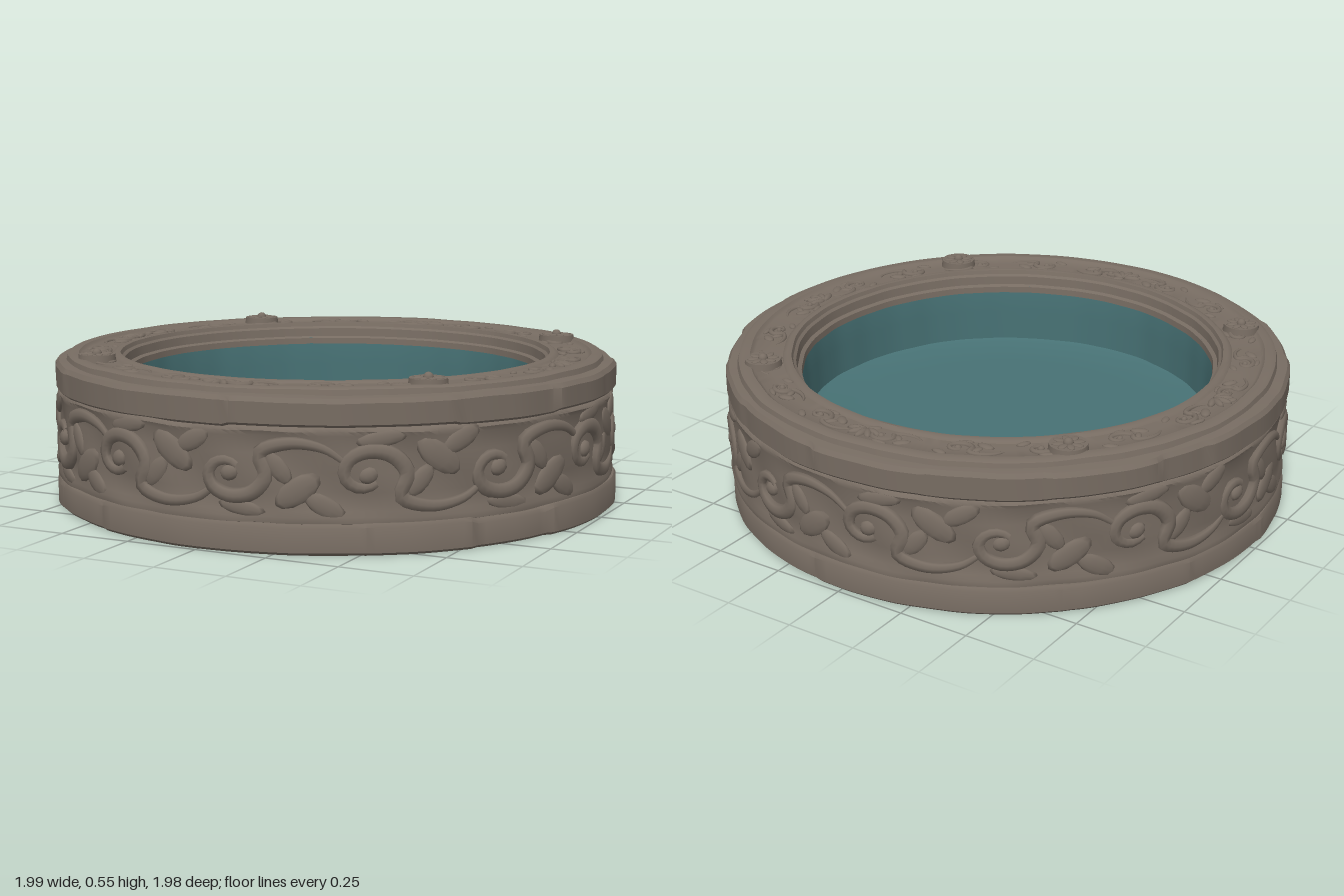
import * as THREE from 'three';
import { mergeVertices, mergeGeometries, toCreasedNormals } from 'three/addons/utils/BufferGeometryUtils.js';

const TAU = Math.PI * 2;
const SEGMENTS = 216;
const WALL = 0.976; // radius of the carved wall
const RING = 0.835; // middle radius of the carved top channel

// Repeatable value from 0 to 1
const hash = (n) => {
  const s = Math.sin(n * 127.1 + 3.7) * 43758.5453;
  return s - Math.floor(s);
};

// Stepped offset that makes a band look like worn blocks of unequal length
function blockStep(angle, count, seed) {
  const t = ((angle / TAU + 1.003) % 1) * count;
  let i = Math.floor(t);
  if (t - i < hash(i + seed) * 0.5) i = (i + count - 1) % count;
  return hash(i * 3.1 + seed * 7) - 0.5;
}

const wear = (a, seed) => Math.sin(a * 7 + seed) * 0.5 + Math.sin(a * 17 + seed * 2.3) * 0.3 + Math.sin(a * 31 + seed * 4) * 0.2;

// Lathe whose vertices are moved by rule(angle, radius, y) -> [radius, y]
function wornLathe(profile, rule, crease = 0.6) {
  const geo = new THREE.LatheGeometry(profile.map(([r, y]) => new THREE.Vector2(r, y)), SEGMENTS);
  const p = geo.attributes.position;
  for (let i = 0; i < p.count; i++) {
    const x = p.getX(i), z = p.getZ(i), r0 = Math.hypot(x, z);
    const a = Math.atan2(x, z);
    const [r, y] = rule(a, r0, p.getY(i));
    p.setXYZ(i, r * Math.sin(a), y, r * Math.cos(a));
  }
  return toCreasedNormals(geo, crease);
}

// Bend flat relief (u along, v across, d outward) onto the side wall or the top ring
const onWall = (u, v, d) => [(WALL + d) * Math.sin(u / WALL), v, (WALL + d) * Math.cos(u / WALL)];
const onTop = (u, v, d) => [(RING - v) * Math.sin(u / RING), 0.511 + d, (RING - v) * Math.cos(u / RING)];

function bend(geo, map) {
  geo.deleteAttribute('uv');
  geo.deleteAttribute('normal');
  const p = geo.attributes.position;
  for (let i = 0; i < p.count; i++) p.setXYZ(i, ...map(p.getX(i), p.getY(i), p.getZ(i)));
  const out = mergeVertices(geo, 1e-4);
  out.computeVertexNormals();
  return out;
}

// Tapered, flattened stem along a list of flat points
function stem(points, width, height) {
  const curve = new THREE.CatmullRomCurve3(points.map(([u, v]) => new THREE.Vector3(u, v, 0)));
  const steps = points.length * 3, sides = 7;
  const geo = new THREE.TubeGeometry(curve, steps, width, sides);
  const p = geo.attributes.position;
  for (let i = 0; i < p.count; i++) {
    const t = Math.floor(i / (sides + 1)) / steps;
    const c = curve.getPointAt(t);
    const s = 0.3 + 0.7 * Math.sin(Math.PI * Math.min(1, t * 0.85 + 0.12));
    p.setXYZ(i, c.x + (p.getX(i) - c.x) * s, c.y + (p.getY(i) - c.y) * s, p.getZ(i) * s * height / width);
  }
  return geo;
}

// Pointed oval leaf lying flat
function leaf(u, v, length, width, height, turn) {
  const geo = new THREE.SphereGeometry(1, 10, 6);
  geo.scale(length, width, height);
  geo.rotateZ(turn);
  geo.translate(u, v, 0);
  return geo;
}

// One scroll: a curl that opens into the running vine, with broad leaves
function scroll(u, v, size, flip, height) {
  const curl = [];
  for (let i = 0; i <= 8; i++) {
    const t = i / 8, a = 0.9 + t * 6.1, r = size * (0.3 + 0.7 * t);
    curl.push([u + Math.cos(a) * r * 1.3, v + flip * Math.sin(a) * r]);
  }
  curl.push([u + size * 1.9, v + flip * size * 1.0], [u + size * 3.0, v + flip * size * 0.85], [u + size * 3.7, v + flip * size * 0.4]);
  return [
    stem(curl, size * 0.27, height),
    leaf(u, v, size * 0.32, size * 0.26, height, 0.4),
    leaf(u + size * 2.2, v - flip * size * 0.5, size * 0.85, size * 0.42, height * 0.8, flip * 0.6),
    leaf(u + size * 1.6, v + flip * size * 0.2, size * 0.6, size * 0.3, height * 0.7, -flip * 0.9),
    leaf(u - size * 1.3, v + flip * size * 0.95, size * 0.7, size * 0.32, height * 0.7, flip * 0.5),
    leaf(u + size * 0.4, v - flip * size * 1.1, size * 0.8, size * 0.25, height * 0.6, -flip * 0.15),
  ];
}

function scrollBand(count, radius, v, size, height, map) {
  const parts = [];
  for (let i = 0; i < count; i++) {
    const u = ((i + 0.25) / count) * TAU * radius;
    parts.push(...scroll(u, v, size * (0.93 + 0.1 * hash(i)), i % 2 ? -1 : 1, height));
  }
  return mergeGeometries(parts.map((g) => bend(g, map)));
}

export function createModel() {
  const group = new THREE.Group();
  const stone = new THREE.MeshStandardMaterial({ name: 'weathered stone', color: 0x776c62 });
  const water = new THREE.MeshStandardMaterial({ name: 'teal basin', color: 0x477174 });
  const add = (name, geo, mat = stone, parent = group) => {
    const mesh = new THREE.Mesh(geo, mat);
    mesh.name = name;
    parent.add(mesh);
    return mesh;
  };

  // Base plinth with uneven blocks and a closed underside
  add('basePlinth', wornLathe(
    [[0, 0.003], [0.98, 0.003], [0.99, 0.012], [0.99, 0.088], [0.982, 0.1], [0.93, 0.102]],
    (a, r, y) => [r < 0.5 ? r : r + blockStep(a, 15, 2) * 0.016 + wear(a, 1) * 0.004,
      y > 0.05 ? y + blockStep(a, 15, 2) * 0.014 : y]));

  // Carved side wall
  add('sideWall', wornLathe(
    [[0.94, 0.09], [0.982, 0.102], [0.984, 0.122], [0.975, 0.14], [0.974, 0.2], [0.976, 0.26],
      [0.974, 0.32], [0.975, 0.375], [0.98, 0.39], [0.972, 0.402], [0.94, 0.41]],
    (a, r, y) => {
      const swell = Math.sin(((y - 0.1) / 0.3) * Math.PI);
      return [r + swell * 0.007 * Math.sin(a * 16 + y * 20) + wear(a, 3) * 0.003, y + wear(a, 5) * 0.004];
    }, 0.9));
  add('sideScrolls', scrollBand(14, WALL, 0.255, 0.105, 0.018, onWall));

  // Upper band with worn, chipped blocks
  add('upperBand', wornLathe(
    [[0.94, 0.404], [0.978, 0.404], [0.986, 0.412], [0.986, 0.482], [0.975, 0.497], [0.93, 0.502], [0.9, 0.503]],
    (a, r, y) => [r + blockStep(a, 17, 9) * 0.018 + wear(a, 6) * 0.004,
      y < 0.45 ? y + blockStep(a, 17, 9) * 0.014 : y + wear(a, 7) * 0.002]));

  // Top ring: outer bead, sunken carved channel, inner bead and lip
  add('topRing', wornLathe(
    [[0.948, 0.49], [0.94, 0.517], [0.928, 0.523], [0.902, 0.522], [0.896, 0.516], [0.888, 0.511],
      [RING, 0.512], [0.788, 0.511], [0.782, 0.517], [0.772, 0.521], [0.757, 0.519], [0.752, 0.505],
      [0.742, 0.498], [0.738, 0.468], [0.724, 0.462], [0.722, 0.44]],
    (a, r, y) => [r + wear(a, 8) * 0.003, r > 0.76 ? y + wear(a, 4) * 0.002 : y]));
  add('topScrolls', scrollBand(20, RING, 0, 0.039, 0.011, onTop));

  // Fan ornaments at the four quarter points of the top
  const fan = [];
  for (let q = 0; q < 4; q++) {
    const u = (q / 4) * TAU * RING;
    for (let k = -2; k <= 2; k++) {
      const turn = -Math.PI / 2 + k * 0.6;
      fan.push(bend(leaf(u + Math.cos(turn) * 0.035, 0.02 + Math.sin(turn) * 0.035, 0.035, 0.013, 0.013, turn), onTop));
    }
  }
  add('topFans', mergeGeometries(fan));

  // Four round rosettes: a broad low disc with faint petals and a centre stud
  for (const sx of [-1, 1]) for (const sz of [-1, 1]) {
    const rosette = new THREE.Group();
    rosette.name = 'rosette';
    rosette.position.set(sx * 0.617, 0.505, sz * 0.594);
    add('rosetteDisc', toCreasedNormals(new THREE.CylinderGeometry(0.062, 0.066, 0.031, 24).translate(0, 0.0155, 0), 0.6), stone, rosette);
    const petals = [];
    for (let k = 0; k < 8; k++) {
      petals.push(new THREE.SphereGeometry(1, 8, 6).scale(0.022, 0.004, 0.013)
        .translate(0.034, 0.031, 0).rotateY((k / 8) * TAU));
    }
    add('rosettePetals', mergeGeometries(petals), stone, rosette);
    add('rosetteStud', new THREE.SphereGeometry(0.017, 12, 8).translate(0, 0.032, 0), stone, rosette);
    group.add(rosette);
  }

  // Teal basin: upright wall and shallow floor
  add('basin', wornLathe(
    [[0.728, 0.463], [0.724, 0.44], [0.722, 0.36], [0.72, 0.25], [0.7, 0.242], [0.5, 0.239], [0.25, 0.238], [0, 0.238]],
    (a, r, y) => [r > 0.6 ? r + wear(a, 2) * 0.004 : r, y], 0.8), water);

  return group;
}
